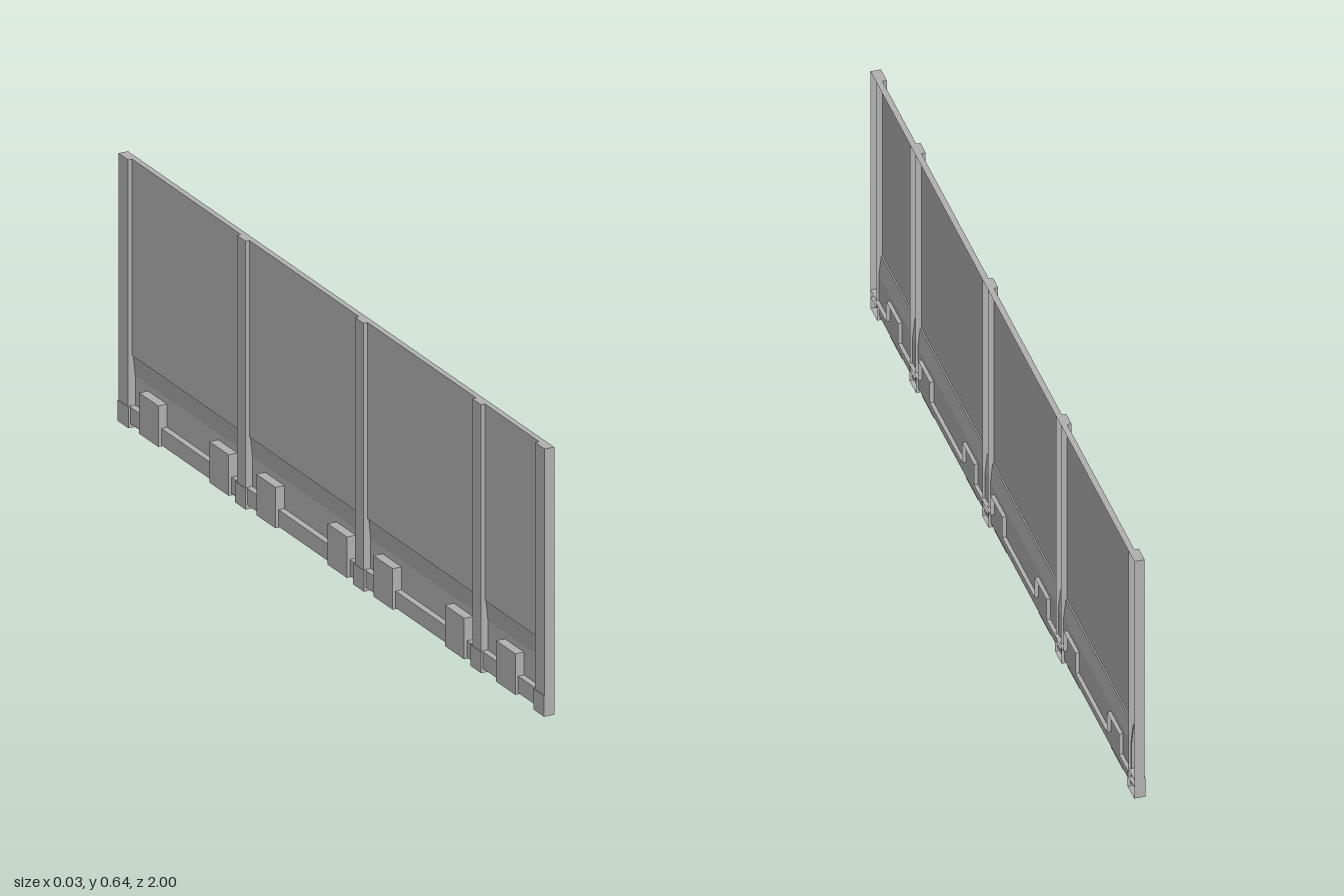
import * as THREE from 'three';

const HEIGHT = 0.64;
const RIM = 0.01;      // x where the open side of the posts ends

export function createModel() {
  const model = new THREE.Group();
  model.name = 'wallPanel';
  const grey = new THREE.MeshStandardMaterial({ color: 0xb0b0b0, side: THREE.DoubleSide, flatShading: true });
  grey.name = 'panelGrey';

  const add = (name, geometry, parent = model) => {
    const mesh = new THREE.Mesh(geometry, grey);
    mesh.name = name;
    parent.add(mesh);
    return mesh;
  };

  // Pressed box, hollow and open towards +x
  const openBox = (name, x0, x1, y0, y1, z0, z1) => {
    const g = new THREE.BoxGeometry(x1 - x0, y1 - y0, z1 - z0);
    g.setIndex(Array.from(g.index.array).slice(6));
    g.clearGroups();
    g.translate((x0 + x1) / 2, (y0 + y1) / 2, (z0 + z1) / 2);
    return add(name, g);
  };

  // Thin sheet swept from a row of points along one direction
  const sheet = (name, points, sweep) => {
    const pos = [];
    for (let i = 0; i < points.length - 1; i++) {
      const a = points[i], b = points[i + 1];
      const c = b.map((v, k) => v + sweep[k]), d = a.map((v, k) => v + sweep[k]);
      pos.push(...a, ...b, ...c, ...a, ...c, ...d);
    }
    const g = new THREE.BufferGeometry();
    g.setAttribute('position', new THREE.Float32BufferAttribute(pos, 3));
    g.computeVertexNormals();
    return add(name, g);
  };

  // Main sheet: top lip, flat panel, small ledge and sloped skirt
  const profile = [
    [RIM, HEIGHT], [-0.004, HEIGHT], [-0.004, 0.17], [-0.001, 0.168], [0.004, 0.12], [0.004, 0.01],
  ];
  sheet('panelSheet', profile.map(([x, y]) => [x, y, -0.96]), [0, 0, 1.92]);

  // Posts with wider feet
  const posts = [[-1, -0.955], [-0.445, -0.405], [0.11, 0.15], [0.66, 0.7], [0.955, 1]];
  for (const [z0, z1] of posts) {
    openBox('post', -0.014, RIM, 0.03, HEIGHT, z0, z1);
    const f0 = Math.max(-1, z0 - 0.005), f1 = Math.min(1, z1 + 0.005);
    openBox('postFoot', -0.016, RIM, 0, 0.05, f0, f1);
  }

  // Low rail between the end posts
  openBox('baseRail', -0.011, 0.004, 0.01, 0.05, -0.96, 0.96);

  // Raised blocks on the rail, and the stepped flange behind them
  const blocks = [-0.85, -0.52, -0.3, 0.035, 0.25, 0.585, 0.825];
  const steps = [[0.002, 0.05, -0.96]];
  for (const z of blocks) {
    const z0 = z - 0.045, z1 = z + 0.045;
    openBox('block', -0.0185, 0.004, 0.007, 0.105, z0, z1);
    steps.push([0.002, 0.05, z0], [0.002, 0.105, z0], [0.002, 0.105, z1], [0.002, 0.05, z1]);
  }
  steps.push([0.002, 0.05, 0.96]);
  sheet('steppedFlange', steps, [0.0115, 0, 0]);

  return model;
}
